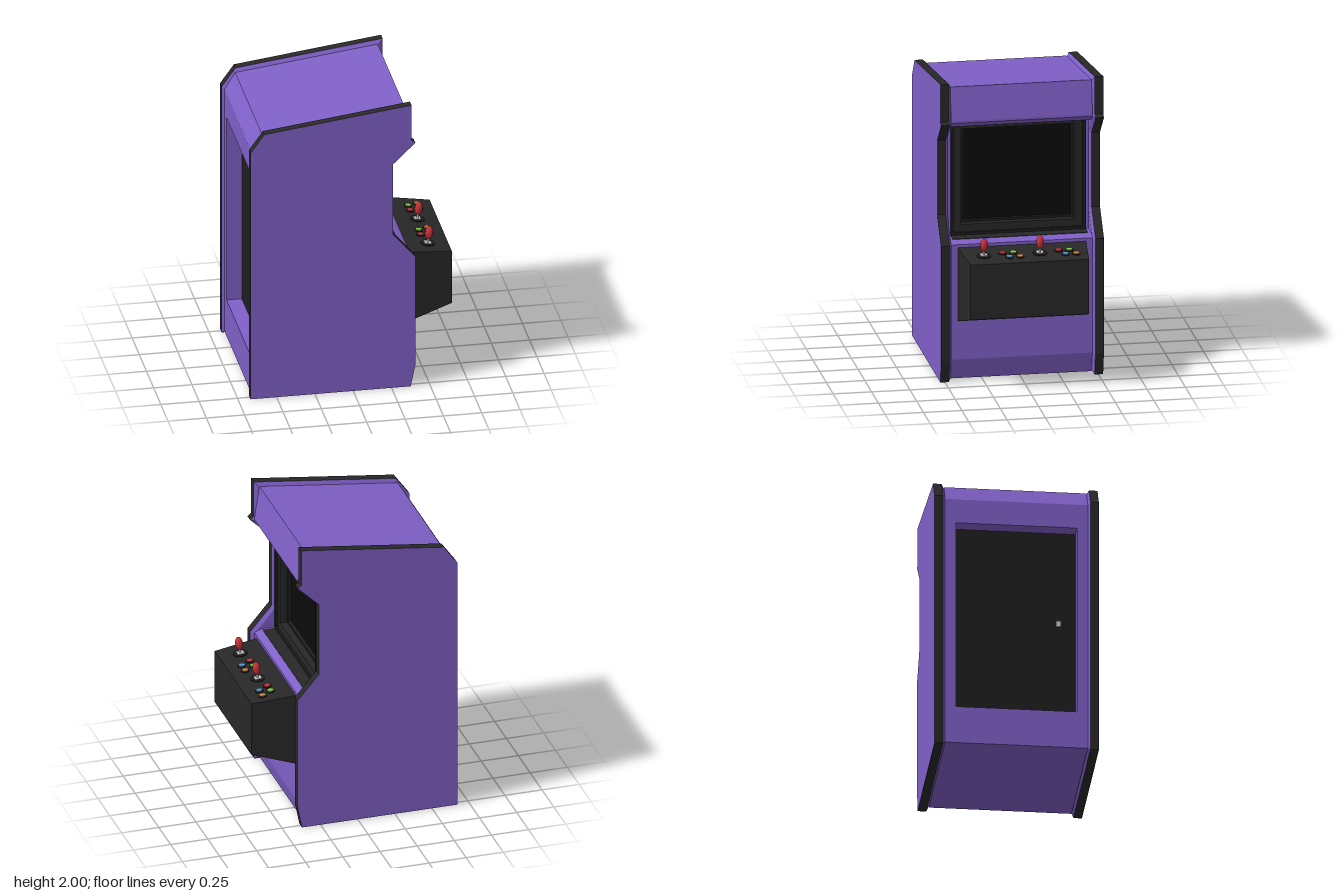
import * as THREE from 'three';

const mat = (color) => new THREE.MeshStandardMaterial({ color, flatShading: true });
const purple = mat(0x8060c8), black = mat(0x282828), dark = mat(0x1e1e1e);
const glass = mat(0x0a0a0a), silver = mat(0xc8c8c8);
const red = new THREE.MeshStandardMaterial({ color: 0xcc3338 });
const buttons = [
  [0.575, 0.045, 0xcc8844], [0.575, 0.115, 0x5b92c9],
  [0.51, 0.08, 0x80c845], [0.51, 0.15, 0xcc3338],
];

// Side outline, front towards +x
const sideProfile = [
  [-0.67, 0], [0.375, 0], [0.405, 0.15], [0.405, 0.92], [0.26, 1.09], [0.26, 1.59],
  [0.405, 1.73], [0.38, 1.75], [0.38, 2], [-0.58, 1.875], [-0.67, 1.75],
];
const bodyProfile = [
  [-0.55, 0.015], [0.345, 0.015], [0.38, 0.15], [0.38, 0.92], [0.33, 0.94], [0.15, 0.94],
  [0.15, 1.7], [0.34, 1.7], [0.38, 1.735], [0.38, 1.75], [0.345, 1.97],
  [-0.585, 1.85], [-0.655, 1.735], [-0.655, 1.7], [-0.55, 1.7],
];
const outline = (pts) => new THREE.Shape(pts.map(([x, y]) => new THREE.Vector2(x, y)));

export function createModel() {
  const root = new THREE.Group();

  function add(name, geometry, material, x = 0, y = 0, z = 0, parent = root) {
    const mesh = new THREE.Mesh(geometry, material);
    mesh.name = name;
    mesh.position.set(x, y, z);
    parent.add(mesh);
    return mesh;
  }
  // Box given by its limits
  function block(name, material, x0, x1, y0, y1, z0, z1) {
    return add(name, new THREE.BoxGeometry(x1 - x0, y1 - y0, z1 - z0), material,
      (x0 + x1) / 2, (y0 + y1) / 2, (z0 + z1) / 2);
  }
  // Upright rectangular frame: half widths and heights of rim and hole, depth along x
  function frame(name, material, x0, x1, [w, b, t], [hw, hb, ht]) {
    const rect = (a, lo, hi) => [[-a, lo], [a, lo], [a, hi], [-a, hi]];
    const shape = outline(rect(w, b, t));
    shape.holes.push(outline(rect(hw, hb, ht)));
    const g = new THREE.ExtrudeGeometry(shape, { depth: x1 - x0, bevelEnabled: false });
    g.rotateY(Math.PI / 2);
    return add(name, g, material, x0);
  }

  // Cabinet body
  const bodyGeo = new THREE.ExtrudeGeometry(outline(bodyProfile), { depth: 0.92, bevelEnabled: false });
  add('cabinetBody', bodyGeo, purple, 0, 0, -0.46);

  // Side panels with black edging, and a bevelled inner trim
  const panelGeo = new THREE.ExtrudeGeometry(outline(sideProfile), { depth: 0.055, bevelEnabled: false });
  const trimGeo = new THREE.ExtrudeGeometry(outline(sideProfile), {
    depth: 0.001, bevelSegments: 1, bevelThickness: 0.015, bevelSize: 0.025, bevelOffset: -0.026,
  });
  for (const s of [-1, 1]) {
    add('sidePanel', panelGeo, [purple, black], 0, 0, s > 0 ? 0.475 : -0.53);
    add('innerTrim', trimGeo, purple, 0, 0, s * 0.475 - 0.0005);
    block('screenJamb', purple, 0.15, 0.235, 0.94, 1.7, s > 0 ? 0.44 : -0.46, s > 0 ? 0.46 : -0.44);
  }

  // Back frame, recessed door and lock
  frame('backFrame', purple, -0.655, -0.55, [0.46, 0.015, 1.7], [0.39, 0.27, 1.57]);
  block('backDoor', dark, -0.555, -0.545, 0.27, 1.57, -0.39, 0.39);
  block('doorLock', silver, -0.565, -0.55, 0.91, 0.95, 0.265, 0.295);

  // Stepped screen surround
  frame('bezelRim', dark, 0.15, 0.25, [0.44, 0.94, 1.7], [0.42, 0.96, 1.685]);
  frame('bezel', black, 0.15, 0.235, [0.42, 0.96, 1.685], [0.37, 1.01, 1.65]);
  frame('bezelInner', dark, 0.15, 0.19, [0.37, 1.01, 1.65], [0.35, 1.025, 1.64]);
  block('screen', glass, 0.14, 0.165, 1.02, 1.645, -0.36, 0.36);
  block('screenSill', black, 0.24, 0.33, 0.93, 0.943, -0.44, 0.44);
  block('screenHead', dark, 0.24, 0.335, 1.697, 1.71, -0.44, 0.44);

  // Control box, tapered towards the front
  const boxGeo = new THREE.BoxGeometry(1, 1, 1);
  const p = boxGeo.attributes.position;
  for (let i = 0; i < p.count; i++) {
    const front = p.getX(i) > 0, top = p.getY(i) > 0;
    p.setXYZ(i, front ? 0.67 : 0.375,
      top ? (front ? 0.868 : 0.9) : (front ? 0.5 : 0.405),
      Math.sign(p.getZ(i)) * (front ? 0.387 : 0.418));
  }
  boxGeo.computeVertexNormals();
  add('controlBox', boxGeo, black);

  // Two sets of controls on the sloping top
  const disc = (r, h) => new THREE.CylinderGeometry(r, r, h, 24);
  for (const dz of [0, -0.365]) {
    const set = new THREE.Group();
    set.name = 'playerControls';
    set.position.set(0.375, 0.9, dz);
    set.rotation.z = -0.108;
    root.add(set);
    for (const [x, z, color] of buttons) {
      add('buttonRim', disc(0.027, 0.008), dark, x - 0.375, 0.002, z, set);
      add('button', disc(0.021, 0.016), mat(color), x - 0.375, 0.003, z, set);
    }
    add('stickBase', disc(0.046, 0.008), dark, 0.16, 0.002, 0.275, set);
    add('stickPlate', new THREE.BoxGeometry(0.045, 0.014, 0.045), silver, 0.158, 0.004, 0.275, set);
    add('stickShaft', disc(0.007, 0.05), silver, 0.16, 0.025, 0.275, set);
    const knob = add('stickKnob', new THREE.SphereGeometry(0.025, 20, 14), red, 0.16, 0.077, 0.275, set);
    knob.scale.y = 1.8;
  }
  return root;
}
